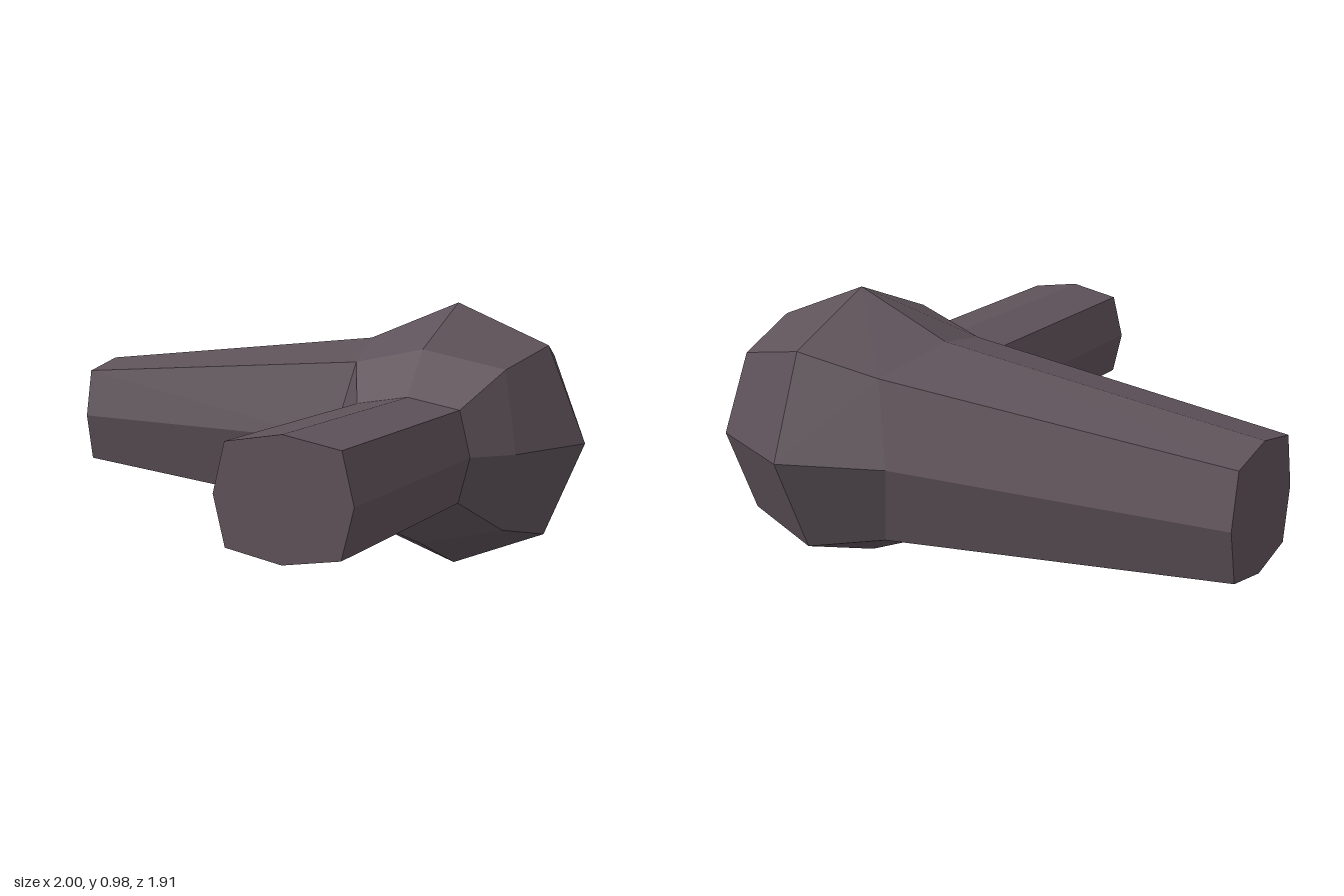
import * as THREE from 'three';

const R = 0.49;
const CENTRE = new THREE.Vector3(0.51, 0.49, -0.47);
const X = new THREE.Vector3(1, 0, 0);
const Y = new THREE.Vector3(0, 1, 0);
const Z = new THREE.Vector3(0, 0, 1);
// Eight steps around a square, middles and corners alternating
const STEPS = [[1, 0], [1, 1], [0, 1], [-1, 1], [-1, 0], [-1, -1], [0, -1], [1, -1]];

// Point on the ball, in the direction n + a*u + b*v
function ballPoint(n, u, v, a, b) {
  return n.clone().addScaledVector(u, a).addScaledVector(v, b).setLength(R).add(CENTRE);
}

function ballRing(n, u, v) {
  return STEPS.map(([a, b]) => ballPoint(n, u, v, a, b));
}

// Flat eight-sided ring at a distance along n; mid and corner are [u, v] half sizes
function flatRing(n, u, v, distance, mid, corner) {
  return STEPS.map(([a, b]) => {
    const size = a && b ? corner : mid;
    return CENTRE.clone().addScaledVector(n, distance)
      .addScaledVector(u, a * size[0]).addScaledVector(v, b * size[1]);
  });
}

// Mesh from polygons, each shaded with a single face normal
function facetMesh(name, polygons, material) {
  const positions = [], normals = [];
  for (const p of polygons) {
    const normal = new THREE.Vector3();
    p.forEach((q, i) => normal.add(q.clone().sub(CENTRE).cross(p[(i + 1) % p.length].clone().sub(CENTRE))));
    normal.normalize();
    for (let i = 1; i < p.length - 1; i++) {
      for (const q of [p[0], p[i], p[i + 1]]) {
        positions.push(...q.toArray());
        normals.push(...normal.toArray());
      }
    }
  }
  const geometry = new THREE.BufferGeometry();
  geometry.setAttribute('position', new THREE.Float32BufferAttribute(positions, 3));
  geometry.setAttribute('normal', new THREE.Float32BufferAttribute(normals, 3));
  const mesh = new THREE.Mesh(geometry, material);
  mesh.name = name;
  return mesh;
}

// Walls between successive rings, closed by an end cap
function loft(rings) {
  const polygons = [];
  for (let k = 0; k < rings.length - 1; k++) {
    for (let i = 0; i < 8; i++) {
      const j = (i + 1) % 8;
      polygons.push([rings[k][i], rings[k][j], rings[k + 1][j], rings[k + 1][i]]);
    }
  }
  polygons.push(rings[rings.length - 1]);
  return polygons;
}

export function createModel() {
  const group = new THREE.Group();
  group.name = 'cornerJoint';
  const material = new THREE.MeshStandardMaterial({ color: 0x5e5259 });
  material.name = 'dullMauve';
  const left = X.clone().negate(), down = Y.clone().negate(), back = Z.clone().negate();

  // Ball: the four rounded cube sides that carry no arm
  const ball = [];
  for (const [n, u, v] of [[X, Y, Z], [Y, Z, X], [down, X, Z], [back, Y, X]]) {
    const ring = ballRing(n, u, v);
    const middle = ballPoint(n, u, v, 0, 0);
    for (let i = 0; i < 8; i += 2) ball.push([middle, ring[i], ring[i + 1], ring[(i + 2) % 8]]);
  }
  group.add(facetMesh('ball', ball, material));

  // Tapering side arm
  group.add(facetMesh('sideArm', loft([
    ballRing(left, Z, Y),
    flatRing(left, Z, Y, 1.51, [0.217, 0.217], [0.18, 0.18]),
  ]), material));

  // Front arm: a collar narrowing from the ball, then a straight bar
  const mid = [0.23, 0.193], corner = [0.19, 0.16];
  group.add(facetMesh('frontArm', loft([
    ballRing(Z, X, Y),
    flatRing(Z, X, Y, 0.48, mid, corner),
    flatRing(Z, X, Y, 1.425, mid, corner),
  ]), material));

  return group;
}
